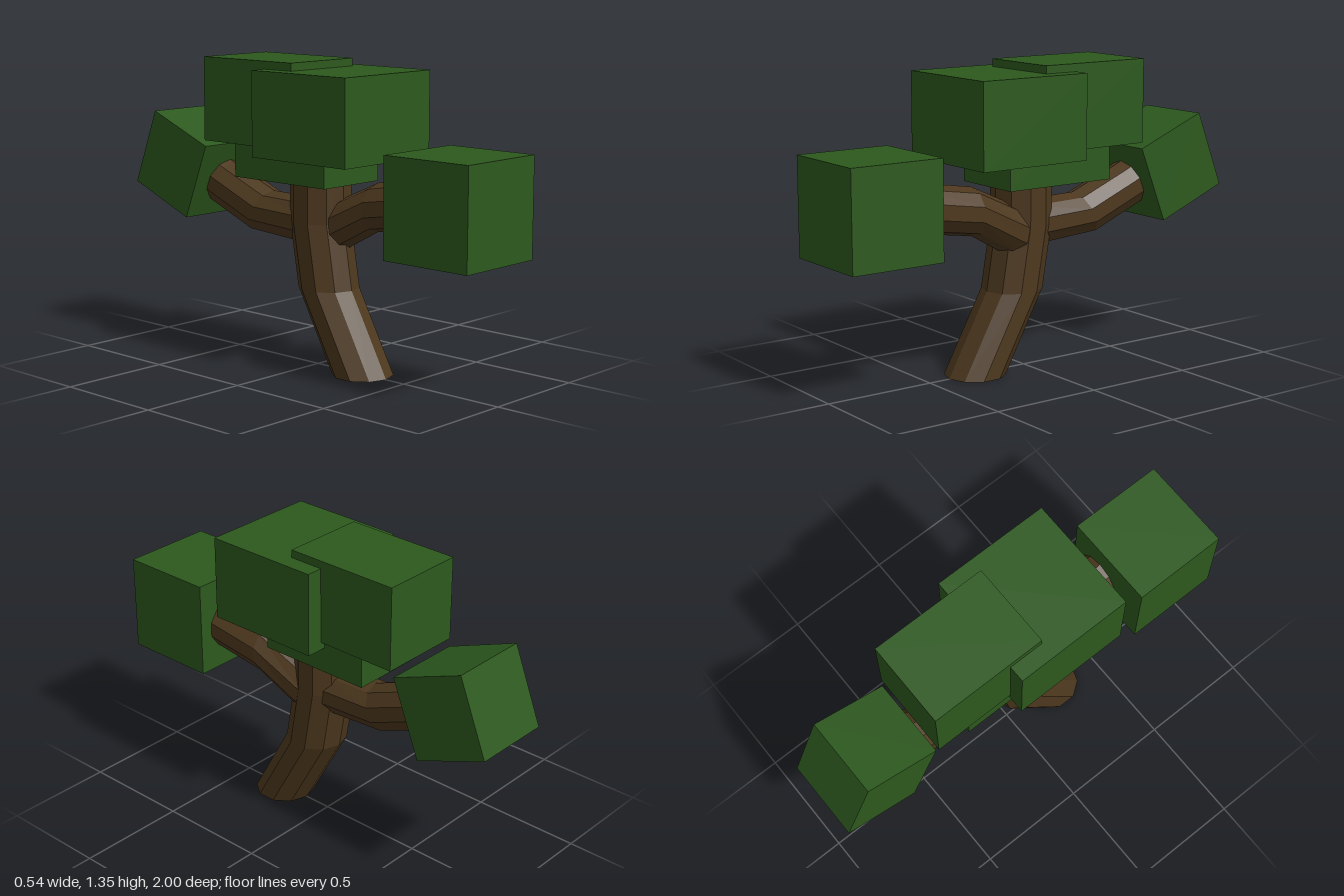
import * as THREE from 'three';

const bark = new THREE.MeshStandardMaterial({ color: 0x4d381e, flatShading: true });
const leaf = new THREE.MeshStandardMaterial({ color: 0x2d591e, flatShading: true });

// Ten-sided limb through rings of [x, y, z, tilt about x in degrees]
function limb(name, radius, rings) {
  const n = rings.length - 1;
  const geo = new THREE.CylinderGeometry(radius, radius, 1, 10, n);
  const pos = geo.attributes.position;
  for (let i = 0; i < pos.count; i++) {
    const [cx, cy, cz, tilt] = rings[Math.round((pos.getY(i) + 0.5) * n)];
    const t = THREE.MathUtils.degToRad(tilt);
    const x = pos.getX(i), z = pos.getZ(i);
    pos.setXYZ(i, cx + x, cy - z * Math.sin(t), cz + z * Math.cos(t));
  }
  geo.computeVertexNormals();
  const mesh = new THREE.Mesh(geo, bark);
  mesh.name = name;
  return mesh;
}

// Block of leaves: size, centre, tilt about x
function foliage(name, size, centre, tilt = 0) {
  const mesh = new THREE.Mesh(new THREE.BoxGeometry(...size), leaf);
  mesh.position.set(...centre);
  mesh.rotation.x = tilt;
  mesh.name = name;
  return mesh;
}

export function createModel() {
  const tree = new THREE.Group();
  tree.name = 'tree';
  tree.add(
    // Bent trunk with level rings
    limb('trunk', 0.135, [
      [0, 0, 0.265, 0],
      [0, 0.36, 0.065, 0],
      [0, 0.65, 0.015, 0],
      [0, 0.9, 0.015, 0],
    ]),
    // Branches
    limb('frontBranch', 0.107, [
      [0.025, 0.61, 0.06, 64],
      [0.045, 0.735, 0.31, 90],
      [0.053, 0.785, 0.62, 80],
    ]),
    limb('backBranch', 0.107, [
      [0, 0.64, 0, -90],
      [0, 0.655, -0.32, -65],
      [0, 0.755, -0.57, -68],
      [0, 0.82, -0.71, -68],
    ]),
    // Crown
    foliage('frontFoliage', [0.43, 0.435, 0.435], [0, 0.793, 0.782]),
    foliage('crownFoliage', [0.54, 0.375, 0.54], [0, 1.128, 0.133]),
    foliage('rearCrownFoliage', [0.39, 0.375, 0.54], [0, 1.163, -0.245]),
    foliage('lowerCrownFoliage', [0.345, 0.375, 0.54], [0, 1.013, -0.073]),
    foliage('backFoliage', [0.366, 0.366, 0.366], [0, 0.843, -0.76], 0.378),
  );
  return tree;
}
